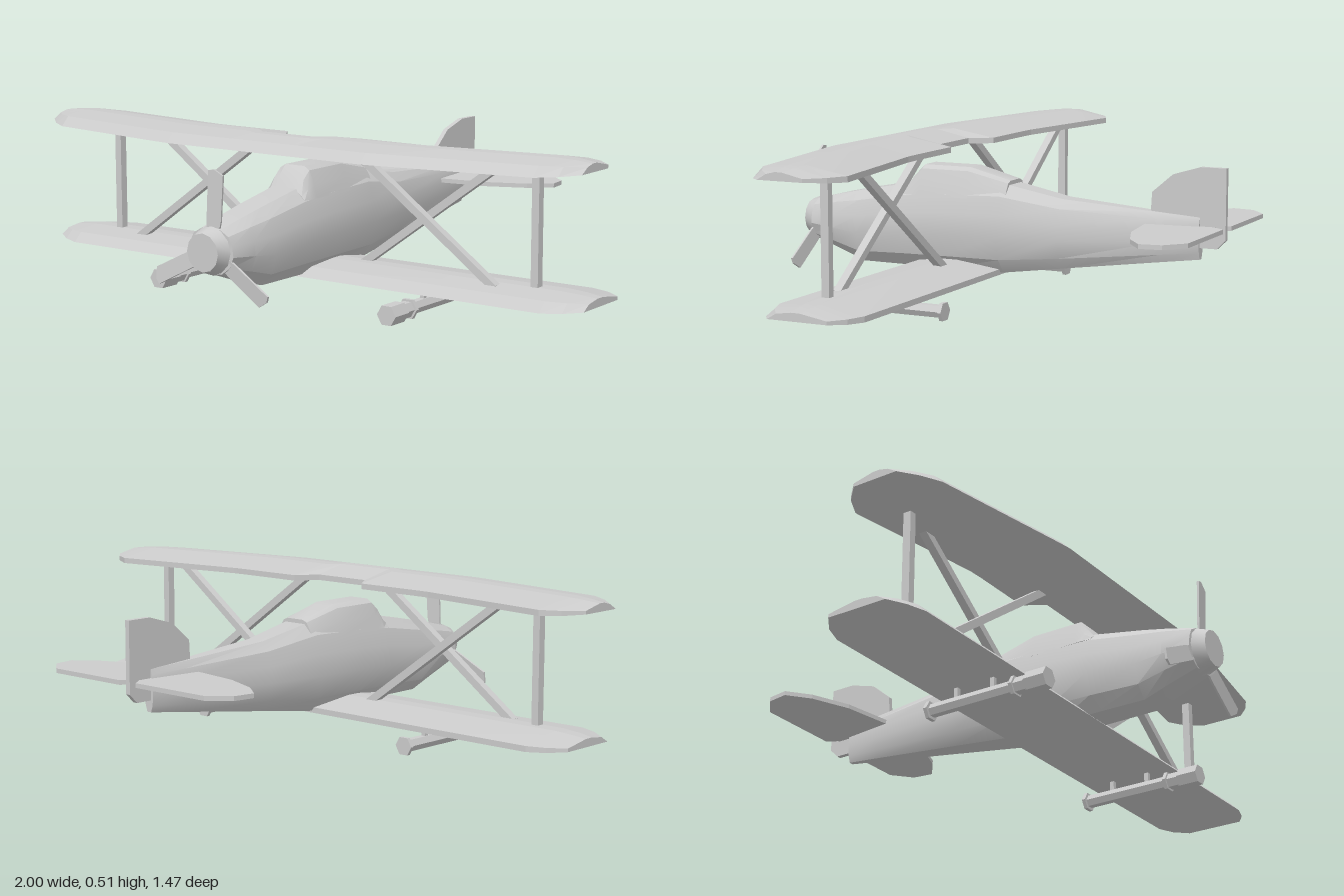
import * as THREE from 'three';
import { mergeVertices, toCreasedNormals } from 'three/addons/utils/BufferGeometryUtils.js';

const material = new THREE.MeshStandardMaterial({ color: 0xcccccc });
const flat = new THREE.MeshStandardMaterial({ color: 0xcccccc, flatShading: true });

// Skin through convex rings of [x, y, z] points, closed at both ends
function loft(rings, crease = 0.5) {
  const n = rings[0].length, index = [];
  for (let i = 0; i < rings.length - 1; i++) {
    for (let j = 0; j < n; j++) {
      const a = i * n + j, b = i * n + (j + 1) % n;
      index.push(a, b, a + n, b, b + n, a + n);
    }
  }
  const last = (rings.length - 1) * n;
  for (let j = 1; j < n - 1; j++) index.push(0, j + 1, j, last, last + j, last + j + 1);
  const g = new THREE.BufferGeometry();
  g.setAttribute('position', new THREE.Float32BufferAttribute(rings.flat(2), 3));
  g.setIndex(index);
  return toCreasedNormals(mergeVertices(g), crease);
}

// Full ring from a right-hand half outline running bottom to top
function mirrorRing(half, z) {
  const right = half.map(([x, y]) => [x, y, z]);
  return [...right, ...half.map(([x, y]) => [-x, y, z]).reverse()];
}

function add(parent, name, geometry, mat = material) {
  const mesh = new THREE.Mesh(geometry, mat);
  mesh.name = name;
  parent.add(mesh);
  return mesh;
}

// Body ring: z, bottom, top, half width
const bodyHalf = [[0.45, 0], [0.82, 0.16], [1, 0.42], [0.95, 0.66], [0.78, 0.87], [0.42, 1]];
const bodyRing = ([z, bottom, top, w]) =>
  mirrorRing(bodyHalf.map(([u, v]) => [u * w, bottom + v * (top - bottom)]), z);

// Wing from stations of [x, leading z, trailing z, tip amount], mirrored to both sides
function wing(y, stations) {
  const ring = ([x, lead, trail, tip]) => {
    const c = lead - trail, k = 1 - 0.4 * tip, b = y + 0.007 * tip;
    return [
      [x, b, trail],
      [x, b + 0.018 * k, trail],
      [x, b + 0.042 * k, trail + c * 0.45],
      [x, b + 0.042 * k, trail + c * 0.6],
      [x, b + 0.03 * k, lead - 0.03],
      [x, b, lead],
    ];
  };
  const left = stations.filter((s) => s[0] > 0).map(([x, ...r]) => [-x, ...r]).reverse();
  return loft([...left, ...stations].map(ring), 0.1);
}

// Flat plate cut from an outline, centred on its thickness
function plate(points, thickness) {
  const shape = new THREE.Shape(points.map(([x, y]) => new THREE.Vector2(x, y)));
  const g = new THREE.ExtrudeGeometry(shape, { depth: thickness, bevelEnabled: false });
  return g.translate(0, 0, -thickness / 2);
}

// Square bar between two points of a plane at depth z
function strut(parent, name, [x1, y1], [x2, y2], z) {
  const length = Math.hypot(x2 - x1, y2 - y1);
  const bar = add(parent, name, new THREE.BoxGeometry(0.024, length, 0.026), flat);
  bar.position.set((x1 + x2) / 2, (y1 + y2) / 2, z);
  bar.rotation.z = -Math.atan2(x2 - x1, y2 - y1);
}

function makeGun() {
  const gun = new THREE.Group();
  // Front radius, back radius, front z, back z
  const parts = [
    ['muzzle', 0.033, 0.425, 0.355],
    ['sleeve', 0.026, 0.355, 0.315],
    ['frontCollar', 0.033, 0.315, 0.303],
    ['barrel', 0.021, 0.303, 0.01],
    ['rearCollar', 0.031, 0.01, -0.002],
  ];
  for (const [name, r, z1, z2] of parts) {
    const g = new THREE.CylinderGeometry(r, r, z1 - z2, 6);
    g.rotateY(Math.PI / 6 * 3).rotateX(Math.PI / 2).translate(0, 0.034, (z1 + z2) / 2);
    add(gun, name, g, flat);
  }
  for (const z of [0.23, 0.1]) {
    add(gun, 'gunMount', new THREE.BoxGeometry(0.014, 0.045, 0.014).translate(0, 0.07, z), flat);
  }
  return gun;
}

export function createModel() {
  const model = new THREE.Group();
  model.name = 'biplane';

  // Fuselage
  add(model, 'fuselage', loft([
    [-0.65, 0.176, 0.306, 0.018],
    [-0.525, 0.16, 0.314, 0.034],
    [-0.2, 0.117, 0.337, 0.075],
    [0, 0.09, 0.375, 0.1],
    [0.2, 0.09, 0.37, 0.105],
    [0.34, 0.09, 0.357, 0.105],
    [0.51, 0.09, 0.325, 0.1],
    [0.6, 0.122, 0.306, 0.094],
    [0.69, 0.152, 0.284, 0.083],
  ].map(bodyRing), 0.45));

  // Canopy with sloped windscreen
  const canopy = [[-0.02, 0.384, 0.9], [0.12, 0.42, 1], [0.285, 0.42, 1], [0.315, 0.39, 1], [0.342, 0.352, 0.95]];
  add(model, 'canopy', loft(canopy.map(([z, top, k]) => {
    const base = 0.325, h = top - base;
    return mirrorRing([[0.084 * k, base], [0.072 * k, base + h * 0.45],
      [0.055 * k, base + h * 0.88], [0.036 * k, top]], z);
  }), 0.4));

  // Nose cap
  const nose = new THREE.CylinderGeometry(0.058, 0.076, 0.05, 12);
  add(model, 'noseCap', toCreasedNormals(nose.rotateX(Math.PI / 2).translate(0, 0.219, 0.705), 0.6));

  // Three-bladed propeller
  const propeller = new THREE.Group();
  propeller.name = 'propeller';
  propeller.position.set(0, 0.22, 0.685);
  const blade = plate([[0.02, -0.016], [0.09, -0.027], [0.225, -0.027], [0.24, 0.005], [0.235, 0.024],
    [0.09, 0.022], [0.02, 0.016]], 0.007);
  for (let i = 0; i < 3; i++) {
    const holder = new THREE.Group();
    holder.rotation.z = THREE.MathUtils.degToRad(86 + i * 120);
    add(holder, 'propellerBlade', blade, flat).rotation.x = 0.12;
    propeller.add(holder);
  }
  model.add(propeller);

  // Wings
  add(model, 'upperWing', wing(0.477, [
    [0, 0.457, 0.2, 0], [0.1, 0.457, 0.2, 0], [0.145, 0.457, 0.132, 0], [0.365, 0.457, 0.132, 0],
    [0.42, 0.449, 0.13, 0], [0.89, 0.37, 0.06, 0], [0.95, 0.335, 0.09, 0.4], [1, 0.29, 0.14, 1],
  ]));
  add(model, 'lowerWing', wing(0.083, [
    [0, 0.322, 0.01, 0], [0.89, 0.322, 0.01, 0], [0.95, 0.3, 0.03, 0.4], [1, 0.265, 0.067, 1],
  ]));

  // Struts and guns on both sides
  for (const side of [1, -1]) {
    const struts = new THREE.Group();
    struts.name = side > 0 ? 'leftStruts' : 'rightStruts';
    strut(struts, 'uprightStrut', [side * 0.8, 0.11], [side * 0.8, 0.485], 0.187);
    strut(struts, 'frontDiagonalStrut', [side * 0.165, 0.487], [side * 0.685, 0.112], 0.222);
    strut(struts, 'rearDiagonalStrut', [side * 0.165, 0.112], [side * 0.685, 0.487], 0.153);
    model.add(struts);

    const gun = makeGun();
    gun.name = side > 0 ? 'leftGun' : 'rightGun';
    gun.position.x = side * 0.437;
    model.add(gun);
  }

  // Tailplane, outlined as x and z
  const half = [[0.012, -0.7], [0.035, -0.735], [0.32, -0.735], [0.385, -0.68], [0.395, -0.61],
    [0.325, -0.555], [0.2, -0.505], [0.035, -0.48]];
  const outline = [...half, ...half.map(([x, z]) => [-x, z]).reverse()];
  add(model, 'tailplane', plate(outline, 0.014).rotateX(Math.PI / 2).translate(0, 0.272, 0), flat);

  // Fin and rudder, outlined as z and y
  const fin = [[-0.487, 0.29], [-0.492, 0.375], [-0.56, 0.433], [-0.65, 0.46], [-0.733, 0.46],
    [-0.733, 0.24], [-0.705, 0.212], [-0.64, 0.212], [-0.6, 0.25]];
  add(model, 'fin', plate(fin.map(([z, y]) => [-z, y]), 0.016).rotateY(Math.PI / 2), flat);

  return model;
}
